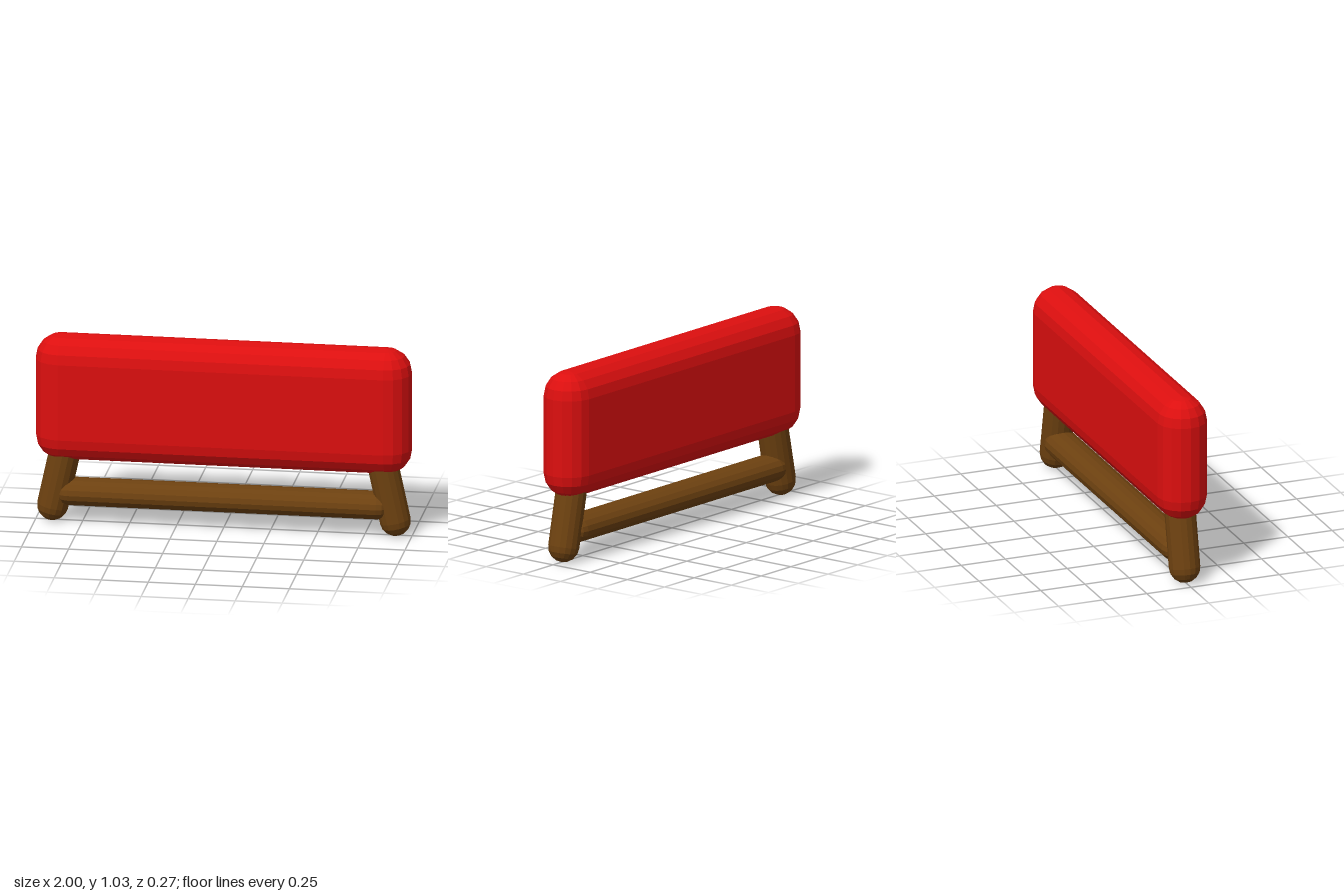
import * as THREE from 'three';
import { ConvexGeometry } from 'three/addons/geometries/ConvexGeometry.js';

const RADIUS = 0.135;

// Box with fully rounded edges: the hull of a sphere pushed out to eight corners
function roundedPanel(width, height, depth) {
  const ball = new THREE.SphereGeometry(RADIUS, 16, 8).attributes.position;
  const points = [];
  for (let i = 0; i < ball.count; i++) {
    const p = new THREE.Vector3().fromBufferAttribute(ball, i);
    for (const sx of [-1, 1]) {
      for (const sy of [-1, 1]) {
        points.push(new THREE.Vector3(
          p.x + sx * (width / 2 - RADIUS),
          p.y + sy * (height / 2 - RADIUS),
          p.z * depth / (2 * RADIUS)));
      }
    }
  }
  return new ConvexGeometry(points);
}

// Capsule whose cap centres lie at a and b
function capsuleBetween(a, b, radius, material) {
  const dir = b.clone().sub(a);
  const mesh = new THREE.Mesh(new THREE.CapsuleGeometry(radius, dir.length(), 4, 16), material);
  mesh.position.copy(a).add(b).multiplyScalar(0.5);
  mesh.quaternion.setFromUnitVectors(new THREE.Vector3(0, 1, 0), dir.normalize());
  return mesh;
}

export function createModel() {
  const red = new THREE.MeshStandardMaterial({ name: 'red padding', color: 0xdd0f0f, flatShading: true });
  const brown = new THREE.MeshStandardMaterial({ name: 'brown wood', color: 0x6d4110, flatShading: true });
  const model = new THREE.Group();
  model.name = 'paddedBarrier';

  // Upright padded panel
  const panel = new THREE.Mesh(roundedPanel(2, 0.685, 0.27), red);
  panel.name = 'panel';
  panel.position.y = 0.6875;
  model.add(panel);

  // Splayed legs
  for (const s of [-1, 1]) {
    const leg = capsuleBetween(
      new THREE.Vector3(s * 0.91, 0.084, 0), new THREE.Vector3(s * 0.835, 0.43, 0), 0.083, brown);
    leg.name = s > 0 ? 'leftLeg' : 'rightLeg';
    model.add(leg);
  }

  // Cross rail, slightly oval and deeper than the legs
  const railGeometry = new THREE.CapsuleGeometry(0.08, 1.64, 4, 16);
  railGeometry.rotateZ(Math.PI / 2).scale(1, 0.073 / 0.08, 0.095 / 0.08);
  const rail = new THREE.Mesh(railGeometry, brown);
  rail.name = 'crossRail';
  rail.position.y = 0.163;
  model.add(rail);

  return model;
}
